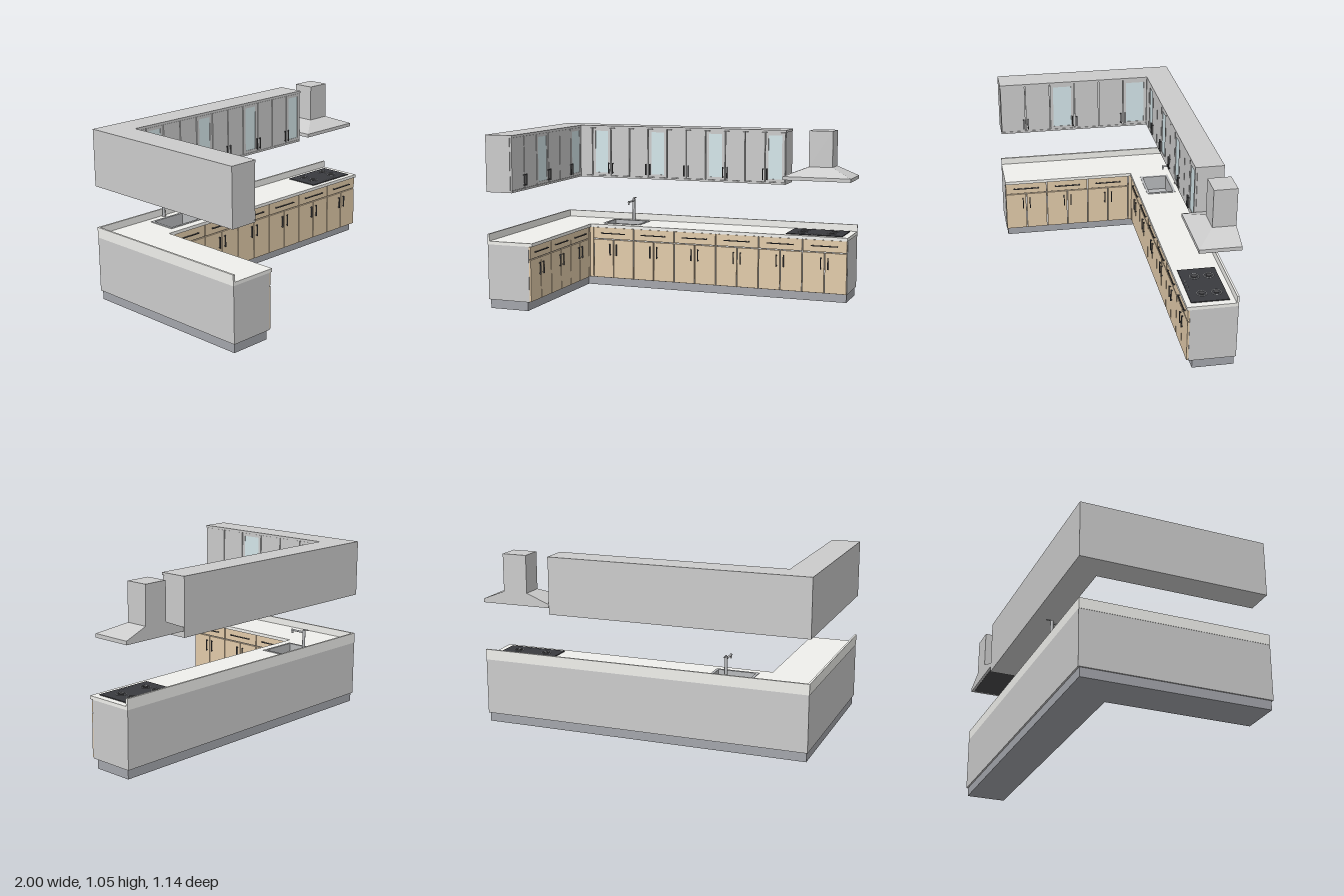
import * as THREE from 'three';

const mat = (color, side = THREE.FrontSide) => new THREE.MeshStandardMaterial({ color, side });
const M = {
  grey: mat(0xcccccc), stone: mat(0xf0f0ec), wood: mat(0xe2cbaa), plinth: mat(0xa4a6ac),
  glass: mat(0xd4e6ea), dark: mat(0x4a4a4c), hob: mat(0x3a3b3f), steel: mat(0xb8babc, THREE.DoubleSide),
};
const BACK = -0.567, FRONT = 0.571;

function add(parent, name, geometry, material) {
  const mesh = new THREE.Mesh(geometry, material);
  mesh.name = name;
  parent.add(mesh);
  return mesh;
}

// Box given by its limits on each axis
function box(parent, name, material, x0, x1, y0, y1, z0, z1) {
  const m = add(parent, name, new THREE.BoxGeometry(x1 - x0, y1 - y0, z1 - z0), material);
  m.position.set((x0 + x1) / 2, (y0 + y1) / 2, (z0 + z1) / 2);
  return m;
}

function rect(x0, x1, y0, y1, C = THREE.Shape) {
  return new C([[x0, y0], [x1, y0], [x1, y1], [x0, y1]].map(p => new THREE.Vector2(...p)));
}

// L-shaped slab, optionally with a rectangular hole [x0, x1, z0, z1]
function slab(parent, name, material, { x0, x1, z0, z1, ix, iz }, y0, y1, hole) {
  const pts = [[x0, z0], [x1, z0], [x1, iz], [ix, iz], [ix, z1], [x0, z1]];
  const s = new THREE.Shape(pts.map(([x, z]) => new THREE.Vector2(x, -z)));
  if (hole) s.holes.push(rect(hole[0], hole[1], -hole[3], -hole[2], THREE.Path));
  const g = new THREE.ExtrudeGeometry(s, { depth: y1 - y0, bevelEnabled: false });
  g.rotateX(-Math.PI / 2);
  g.translate(0, y0, 0);
  return add(parent, name, g, material);
}

// Bar handle on two posts, standing off the local z = 0 face
function handle(parent, u, y, length, vertical) {
  const h = new THREE.Group();
  h.name = 'handle';
  box(h, 'handleBar', M.dark, -length / 2, length / 2, -0.003, 0.003, 0.006, 0.011);
  for (const s of [-1, 1]) {
    const p = s * (length / 2 - 0.006);
    box(h, 'handlePost', M.dark, p - 0.003, p + 0.003, -0.003, 0.003, 0, 0.007);
  }
  if (vertical) h.rotation.z = Math.PI / 2;
  h.position.set(u, y, 0);
  parent.add(h);
}

const T = 0.011, GAP = 0.003;
const panel = (parent, name, material, u0, u1, y0, y1) =>
  box(parent, name, material, u0 + GAP, u1 - GAP, y0 + GAP, y1 - GAP, -T, 0);

// Base units: one wide drawer above a pair of doors
function baseRun(parent, start, width, count) {
  for (let i = 0; i < count; i++) {
    const u0 = start + i * width, mid = u0 + width / 2;
    panel(parent, 'drawerFront', M.wood, u0, u0 + width, 0.312, 0.391);
    handle(parent, mid, 0.352, 0.17, false);
    for (const s of [-1, 1]) {
      panel(parent, 'baseDoor', M.wood, Math.min(mid, mid + s * width / 2),
        Math.max(mid, mid + s * width / 2), 0.055, 0.312);
      handle(parent, mid + s * 0.023, 0.244, 0.076, true);
    }
  }
}

// Wall doors in facing pairs; those listed in glazed have a glass pane
function wallRun(parent, start, width, count, glazed, top) {
  for (let i = 0; i < count; i++) {
    const u0 = start + i * width, u1 = u0 + width;
    if (glazed.includes(i)) {
      const w = Math.min(0.022, width * 0.17);
      const g = [u0 + w, u1 - w, 0.737, 1.012];
      const s = rect(u0 + GAP, u1 - GAP, 0.716 + GAP, top - GAP);
      s.holes.push(rect(...g, THREE.Path));
      const frame = new THREE.ExtrudeGeometry(s, { depth: T, bevelEnabled: false });
      add(parent, 'glazedDoorFrame', frame, M.grey).position.z = -T;
      box(parent, 'glassPane', M.glass, ...g, -T, -0.003);
    } else panel(parent, 'wallDoor', M.grey, u0, u1, 0.716, top);
    handle(parent, i % 2 ? u0 + 0.014 : u1 - 0.014, 0.768, 0.072, true);
  }
}

// Frame whose local z = 0 plane is the door face of a run
function face(parent, name, x, z, turn) {
  const g = new THREE.Group();
  g.name = name;
  g.position.set(x, 0, z);
  g.rotation.y = turn;
  parent.add(g);
  return g;
}

function hood() {
  const g = new THREE.Group();
  g.name = 'cookerHood';
  box(g, 'hoodLip', M.grey, 0.572, 1, 0.743, 0.765, BACK, -0.328);
  box(g, 'chimney', M.grey, 0.712, 0.862, 0.815, 1.045, BACK, -0.432);
  // Canopy: box with its top ring drawn in to the chimney
  const c = new THREE.BoxGeometry(1, 1, 1).toNonIndexed(), p = c.attributes.position;
  for (let i = 0; i < p.count; i++) {
    const up = p.getY(i) > 0, right = p.getX(i) > 0, front = p.getZ(i) > 0;
    p.setXYZ(i, right ? (up ? 0.862 : 1) : (up ? 0.712 : 0.572), up ? 0.82 : 0.765,
      front ? (up ? -0.432 : -0.328) : BACK);
  }
  c.computeVertexNormals();
  add(g, 'canopy', c, M.grey);
  box(g, 'hoodFilter', M.dark, 0.59, 0.982, 0.741, 0.744, BACK + 0.015, -0.345);
  return g;
}

function hob() {
  const g = new THREE.Group();
  g.name = 'hob';
  box(g, 'hobPlate', M.hob, 0.605, 0.96, 0.41, 0.415, -0.525, -0.305);
  for (const x of [0.69, 0.875]) for (const z of [-0.47, -0.385]) {
    const ring = add(g, 'burnerRing', new THREE.TorusGeometry(0.028, 0.002, 6, 24), M.steel);
    ring.rotation.x = Math.PI / 2;
    ring.position.set(x, 0.415, z);
    add(g, 'burner', new THREE.CylinderGeometry(0.014, 0.014, 0.004, 20), M.dark).position.set(x, 0.416, z);
  }
  for (let i = 0; i < 4; i++)
    add(g, 'knob', new THREE.CylinderGeometry(0.006, 0.006, 0.005, 12), M.steel)
      .position.set(0.735 + i * 0.032, 0.417, -0.32);
  return g;
}

function sink([x0, x1, z0, z1]) {
  const g = new THREE.Group();
  g.name = 'sink';
  // Flat rim around the basin
  const s = rect(x0 - 0.012, x1 + 0.012, -z1 - 0.012, -z0 + 0.012);
  s.holes.push(rect(x0 + 0.004, x1 - 0.004, -z1 + 0.004, -z0 - 0.004, THREE.Path));
  const rim = new THREE.ExtrudeGeometry(s, { depth: 0.004, bevelEnabled: false });
  rim.rotateX(-Math.PI / 2);
  add(g, 'sinkRim', rim, M.steel).position.y = 0.409;
  box(g, 'basinFloor', M.steel, x0, x1, 0.316, 0.32, z0, z1);
  for (const [a, b] of [[x0, x0 + 0.004], [x1 - 0.004, x1]]) box(g, 'basinSide', M.steel, a, b, 0.32, 0.412, z0, z1);
  for (const [a, b] of [[z0, z0 + 0.004], [z1 - 0.004, z1]]) box(g, 'basinEnd', M.steel, x0, x1, 0.32, 0.412, a, b);
  add(g, 'drain', new THREE.CylinderGeometry(0.014, 0.014, 0.003, 20), M.dark).position.set((x0 + x1) / 2, 0.321, (z0 + z1) / 2);
  return g;
}

function tap(x) {
  const g = new THREE.Group();
  g.name = 'tap';
  const tube = (name, r, a, b) => {
    const va = new THREE.Vector3(x, ...a), vb = new THREE.Vector3(x, ...b), d = vb.clone().sub(va);
    const m = add(g, name, new THREE.CylinderGeometry(r, r, d.length(), 16), M.steel);
    m.position.copy(va).add(vb).multiplyScalar(0.5);
    m.quaternion.setFromUnitVectors(new THREE.Vector3(0, 1, 0), d.normalize());
  };
  tube('tapFoot', 0.012, [0.41, -0.54], [0.417, -0.54]);
  tube('tapColumn', 0.009, [0.41, -0.54], [0.554, -0.54]);
  tube('tapSpout', 0.006, [0.54, -0.54], [0.54, -0.445]);
  tube('tapNozzle', 0.006, [0.546, -0.45], [0.521, -0.45]);
  tube('tapLever', 0.004, [0.557, -0.535], [0.557, -0.573]);
  return g;
}

export function createModel() {
  const root = new THREE.Group();
  root.name = 'cornerKitchen';
  const basin = [-0.628, -0.395, -0.5, -0.337];

  // Base cabinets, worktop and upstands
  slab(root, 'plinth', M.plinth, { x0: -0.99, x1: 0.99, z0: BACK + 0.01, z1: 0.562, ix: -0.742, iz: -0.315 }, 0, 0.057);
  slab(root, 'baseCarcass', M.grey, { x0: -0.998, x1: 0.998, z0: BACK, z1: FRONT, ix: -0.727, iz: -0.292 }, 0.055, 0.39, basin);
  slab(root, 'worktop', M.stone, { x0: -1, x1: 1, z0: BACK, z1: FRONT, ix: -0.705, iz: -0.273 }, 0.39, 0.41, basin);
  slab(root, 'upstand', M.stone, { x0: -1, x1: 1, z0: BACK, z1: FRONT, ix: -0.988, iz: BACK + 0.012 }, 0.41, 0.453);

  const back = face(root, 'backBaseFronts', 0, -0.281, 0);
  baseRun(back, -0.69, 0.2813, 6);
  panel(back, 'cornerFiller', M.wood, -0.718, -0.69, 0.055, 0.391);
  const side = face(root, 'sideBaseFronts', -0.716, 0, Math.PI / 2);
  baseRun(side, -FRONT, 0.2765, 3);
  panel(side, 'cornerFiller', M.wood, 0.2585, 0.29, 0.055, 0.391);

  // Wall cabinets
  const wall = { x0: -1, z0: BACK, z1: FRONT };
  slab(root, 'wallCarcass', M.grey, { ...wall, x1: 0.57, ix: -0.841, iz: -0.412 }, 0.712, 1.043);
  slab(root, 'wallCabinetTop', M.grey, { ...wall, x1: 0.573, ix: -0.826, iz: -0.399 }, 1.031, 1.046);
  slab(root, 'wallCabinetBase', M.grey, { ...wall, x1: 0.57, ix: -0.83, iz: -0.401 }, 0.705, 0.717);
  const backWall = face(root, 'backWallFronts', 0, -0.4, 0);
  wallRun(backWall, -0.745, 0.1315, 10, [0, 3, 6, 9], 1.033);
  panel(backWall, 'wallFiller', M.grey, -0.835, -0.745, 0.716, 1.033);
  const sideWall = face(root, 'sideWallFronts', -0.829, 0, Math.PI / 2);
  wallRun(sideWall, -FRONT, 0.162, 6, [2, 5], 1.033);

  // Appliances
  root.add(hood(), hob(), sink(basin), tap(-0.51));
  return root;
}
